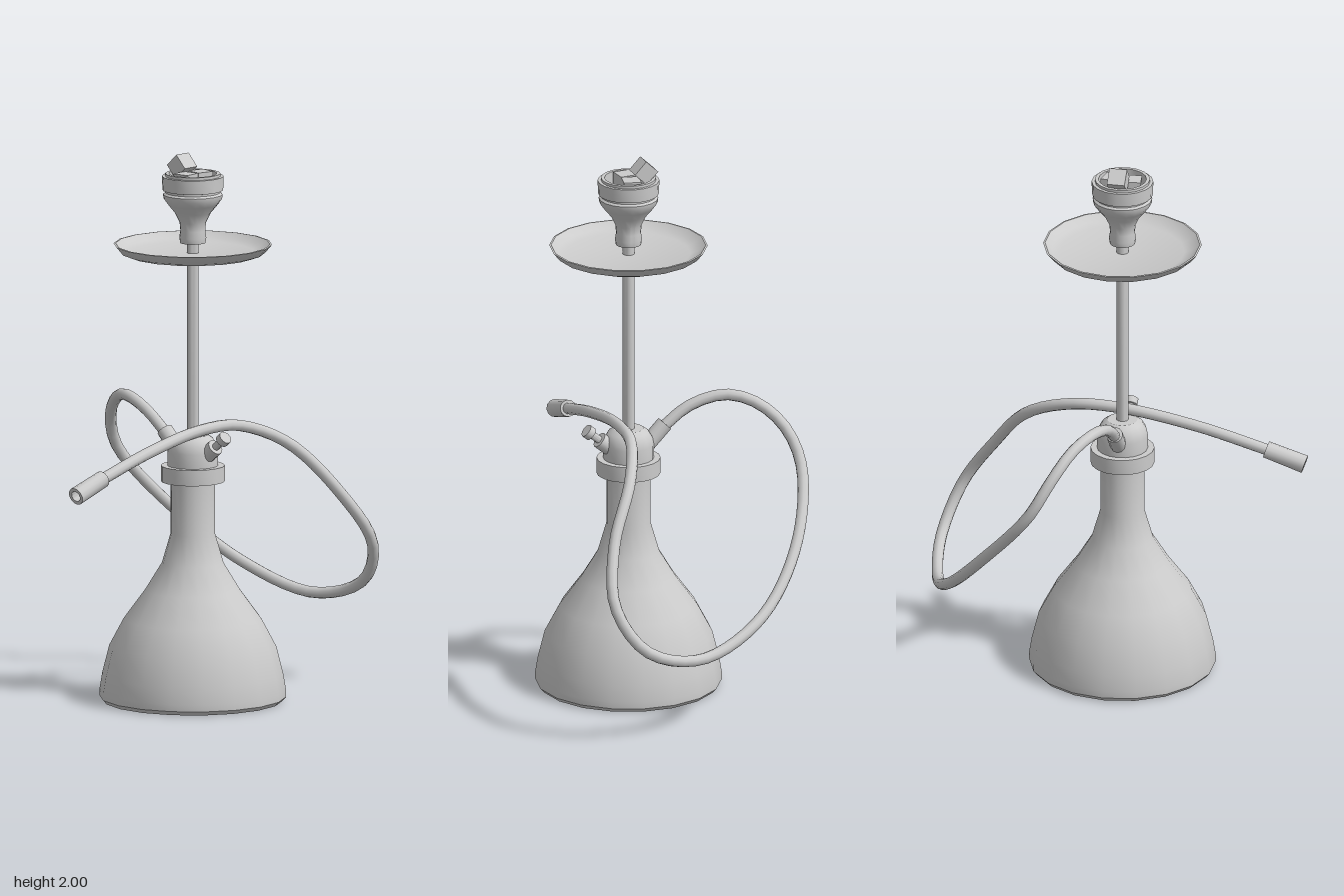
import * as THREE from 'three';
import { toCreasedNormals } from 'three/addons/utils/BufferGeometryUtils.js';

const material = new THREE.MeshStandardMaterial({ color: 0xcccccc, side: THREE.DoubleSide });
const V = (x, y, z) => new THREE.Vector3(x, y, z);
const AXIS_X = -0.025, AXIS_Z = 0.13;

function add(group, name, geometry) {
  const mesh = new THREE.Mesh(geometry, material);
  mesh.name = name;
  group.add(mesh);
  return mesh;
}

// Turned part from [radius, height] pairs
function turned(group, name, profile, sides = 18, crease = 0.6) {
  const points = profile.map(([r, y]) => new THREE.Vector2(r, y));
  return add(group, name, toCreasedNormals(new THREE.LatheGeometry(points, sides), crease));
}

// Place a turned part so that its y axis runs along a direction
function aim(mesh, position, direction) {
  mesh.position.copy(position);
  mesh.quaternion.setFromUnitVectors(V(0, 1, 0), direction.clone().normalize());
}

export function createModel() {
  const model = new THREE.Group();
  model.name = 'waterPipe';

  // Everything turned around the main axis
  const body = new THREE.Group();
  body.name = 'body';
  body.position.set(AXIS_X, 0, AXIS_Z);
  model.add(body);

  turned(body, 'flask', [
    [0, 0], [0.325, 0], [0.338, 0.015], [0.338, 0.04], [0.328, 0.1], [0.303, 0.2],
    [0.25, 0.3], [0.173, 0.405], [0.112, 0.505], [0.08, 0.615], [0.08, 0.82],
  ]);
  turned(body, 'collar', [
    [0.078, 0.805], [0.116, 0.805], [0.116, 0.863], [0.088, 0.863],
  ]);
  turned(body, 'hub', [
    [0.092, 0.86], [0.092, 0.915], [0.087, 0.94], [0.074, 0.962], [0.055, 0.975], [0, 0.975],
  ]);
  turned(body, 'stem', [[0.022, 0.97], [0.022, 1.71]], 12);
  turned(body, 'tray', [
    [0, 1.635], [0.235, 1.635], [0.262, 1.645], [0.287, 1.675], [0.28, 1.676],
    [0.255, 1.655], [0.225, 1.645], [0, 1.643],
  ]);

  // Bowl: flared cup with a raised rim band and a hollow top
  turned(body, 'bowl', [
    [0.022, 1.68], [0.046, 1.68], [0.049, 1.7], [0.045, 1.725], [0.048, 1.755],
    [0.065, 1.79], [0.09, 1.82], [0.106, 1.842], [0.108, 1.858], [0.1, 1.865],
    [0.1, 1.872], [0.11, 1.874], [0.112, 1.925], [0.1, 1.925], [0.1, 1.935],
    [0.087, 1.935], [0.085, 1.885], [0, 1.885],
  ]);

  // Coals: two lying in the bowl, one tipped on top
  const coals = [
    [-0.037, 1.907, 0.0, 0, 0.12],
    [0.038, 1.907, 0.003, 0, -0.18],
    [0.004, 1.955, -0.057, 0.82, 0],
  ];
  for (const [x, y, z, tilt, turn] of coals) {
    const coal = add(body, 'coal', new THREE.BoxGeometry(0.065, 0.063, 0.063));
    coal.position.set(x, y, z);
    coal.rotation.set(tilt, turn, 0);
  }

  // Purge valve on the front of the hub
  const valve = turned(body, 'purgeValve', [
    [0, 0], [0.03, 0], [0.03, 0.085], [0.014, 0.085], [0.014, 0.125],
    [0.025, 0.125], [0.025, 0.15], [0, 0.15],
  ], 12);
  aim(valve, V(0, 0.888, 0.047), V(0, 0.64, 0.77));

  // Hose port on the back of the hub
  const port = turned(body, 'hosePort', [[0, 0], [0.03, 0], [0.03, 0.115], [0.018, 0.115]], 12);
  aim(port, V(0, 0.893, -0.06), V(0, 0.72, -0.69));

  // Hose looping from the back port round the side to the front
  const path = new THREE.CatmullRomCurve3([
    V(-0.025, 0.95, 0.015), V(-0.02, 1.035, -0.1), V(0.01, 1.073, -0.23),
    V(0.065, 1.045, -0.335), V(0.125, 0.96, -0.42), V(0.2, 0.83, -0.455),
    V(0.39, 0.6, -0.365), V(0.555, 0.4, -0.17), V(0.65, 0.305, 0.09),
    V(0.68, 0.37, 0.31), V(0.625, 0.53, 0.41), V(0.5, 0.72, 0.372),
    V(0.355, 0.905, 0.26), V(0.17, 0.99, 0.19), V(-0.02, 0.997, 0.175),
    V(-0.3, 0.95, 0.175), V(-0.56, 0.88, 0.175),
  ]);
  add(model, 'hose', new THREE.TubeGeometry(path, 72, 0.021, 10));

  // Open-ended mouthpiece
  const mouthpiece = turned(model, 'mouthpiece', [
    [0.018, 0], [0.031, 0], [0.033, 0.15], [0.02, 0.15], [0.018, 0.06], [0, 0.06],
  ], 12);
  aim(mouthpiece, V(-0.547, 0.884, 0.175), V(-0.145, -0.047, 0));

  return model;
}
